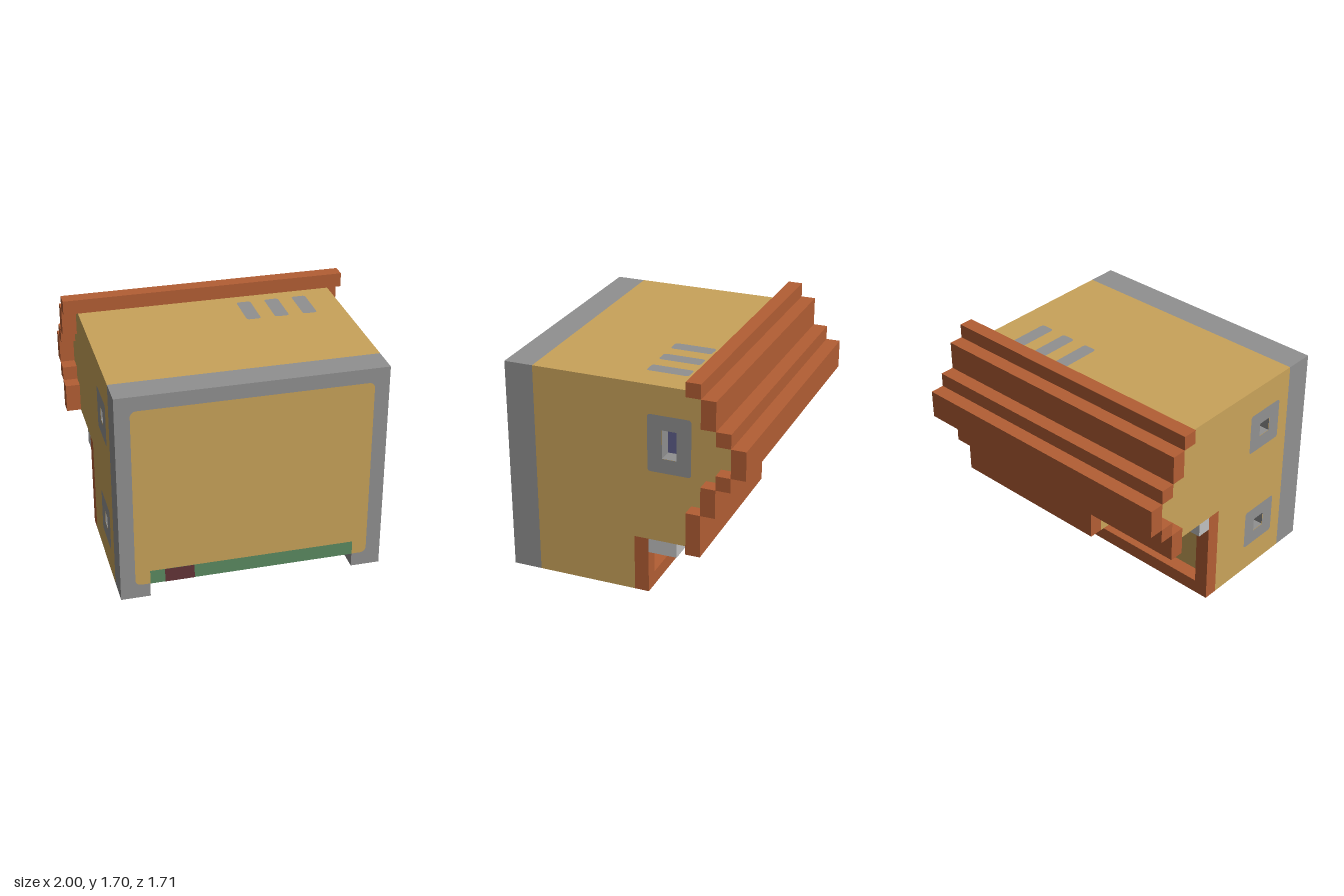
import * as THREE from 'three';

const paint = (name, color) => Object.assign(new THREE.MeshStandardMaterial({ color }), { name });
const tan = paint('tan', 0xc9a35a);
const grey = paint('grey', 0x909090);
const rust = paint('rust', 0xb35e34);
const green = paint('green', 0x5b8a61);
const maroon = paint('maroon', 0x633438);
const blue = paint('slate blue', 0x5f5f8c);
const pale = paint('pale grey', 0xc0c0c0);

// In-plane coordinates: x faces use (z, y), y faces use (x, z), z faces use (x, y)
const place = {
  x: (p, a, b) => [p, b, a],
  y: (p, a, b) => [a, p, b],
  z: (p, a, b) => [a, b, p],
};
const rect = (a0, a1, b0, b1) => [[a0, b0], [a1, b0], [a1, b1], [a0, b1]];
const toPath = (points, Type = THREE.Shape) => new Type(points.map(([a, b]) => new THREE.Vector2(a, b)));

function rounded([a0, a1, b0, b1], r) {
  const s = new THREE.Shape();
  s.absarc(a1 - r, b0 + r, r, -Math.PI / 2, 0);
  s.absarc(a1 - r, b1 - r, r, 0, Math.PI / 2);
  s.absarc(a0 + r, b1 - r, r, Math.PI / 2, Math.PI);
  s.absarc(a0 + r, b0 + r, r, Math.PI, Math.PI * 1.5);
  return s;
}

export function createModel() {
  const model = new THREE.Group();
  model.name = 'shutteredHousing';

  const add = (name, geometry, material) => {
    const mesh = new THREE.Mesh(geometry, material);
    mesh.name = name;
    model.add(mesh);
    return mesh;
  };

  const box = (name, mat, x0, x1, y0, y1, z0, z1) =>
    add(name, new THREE.BoxGeometry(x1 - x0, y1 - y0, z1 - z0), mat)
      .position.set((x0 + x1) / 2, (y0 + y1) / 2, (z0 + z1) / 2);

  // One flat face at `p` on an axis, looking along `sign`, with rectangular holes
  function sheet(name, mat, axis, sign, p, outline, holes = []) {
    const shape = Array.isArray(outline) ? toPath(outline) : outline;
    for (const h of holes) shape.holes.push(toPath(rect(...h), THREE.Path));
    const g = new THREE.ShapeGeometry(shape, 4);
    const pos = g.attributes.position;
    for (let i = 0; i < pos.count; i++) pos.setXYZ(i, ...place[axis](p, pos.getX(i), pos.getY(i)));
    if (sign !== (axis === 'z' ? 1 : -1)) g.index.array.reverse();
    g.computeVertexNormals();
    add(name, g, mat);
  }

  // Square pocket sunk 0.1 into a face, open outward, with a coloured floor
  function pocket(axis, sign, p, [a0, a1, b0, b1]) {
    const size = place[axis](0.1, a1 - a0, b1 - b0);
    const source = new THREE.BoxGeometry(...size);
    const open = 'xyz'.indexOf(axis) * 2 + (sign > 0 ? 0 : 1);
    const index = [], floor = open ^ 1;
    const order = [0, 1, 2, 3, 4, 5].filter((f) => f !== open && f !== floor).concat(floor);
    for (const f of order) {
      for (let t = 0; t < 6; t += 3) {
        const [i, j, k] = source.index.array.slice(f * 6 + t, f * 6 + t + 3);
        index.push(i, k, j);
      }
    }
    source.setIndex(index);
    source.clearGroups();
    const g = source.toNonIndexed();
    g.computeVertexNormals();
    g.addGroup(0, 24, 0);
    g.addGroup(24, 6, 1);
    const centre = place[axis](p - sign * 0.05, (a0 + a1) / 2, (b0 + b1) / 2);
    add('portPocket', g, [grey, blue]).position.set(...centre);
  }

  // Grey surround plus its pockets
  function port(axis, sign, p, area, holes) {
    sheet('portSurround', grey, axis, sign, p + sign * 0.003, rounded(area, 0.02), holes);
    for (const h of holes) pocket(axis, sign, p, h);
  }

  // Side walls with a stepped back edge
  const steps = [[-0.55, 0.8], [-0.55, 1], [-0.65, 1], [-0.65, 1.1], [-0.75, 1.1], [-0.75, 1.3],
    [-0.65, 1.3], [-0.65, 1.4], [-0.55, 1.4], [-0.55, 1.6], [0.65, 1.6]];
  const rightHole = [-0.35, -0.25, 1.1, 1.3];
  sheet('leftWall', tan, 'x', 1, 0.9,
    [[0.65, 0.1], [-0.05, 0.1], [-0.05, 0.5], [-0.45, 0.5], [-0.45, 0.8], ...steps], [rightHole]);
  port('x', 1, 0.9, [-0.45, -0.15, 1, 1.4], [rightHole]);
  const sideHoles = [[0.35, 0.45, 0.4, 0.5], [0.35, 0.45, 1.2, 1.3]];
  sheet('rightWall', tan, 'x', -1, -0.9,
    [[0.65, 0.1], [-0.05, 0.1], [-0.05, 0.8], ...steps], sideHoles);
  for (const h of sideHoles) port('x', -1, -0.9, [0.25, 0.55, h[2] - 0.1, h[3] + 0.1], [h]);

  // Top with three vents
  sheet('top', tan, 'y', 1, 1.6, rect(-0.9, 0.9, -0.55, 0.65));
  for (const x of [0.2, 0.4, 0.6]) {
    sheet('vent', grey, 'y', 1, 1.603, rounded([x, x + 0.1, -0.35, -0.06], 0.02));
  }

  // Grey front surround, its returns and feet
  sheet('frontSurround', grey, 'z', 1, 0.85, [[-0.9, 0.1], [-0.7, 0.1], [-0.7, 0.2], [0.7, 0.2],
    [0.7, 0.1], [0.9, 0.1], [0.9, 1.6], [-0.9, 1.6]]);
  sheet('surroundTop', grey, 'y', 1, 1.6, rect(-0.9, 0.9, 0.65, 0.85));
  for (const s of [-1, 1]) {
    sheet('surroundSide', grey, 'x', s, s * 0.9, rect(0.65, 0.85, 0.1, 1.6));
    sheet('footInner', grey, 'x', -s, s * 0.7, rect(0.65, 0.85, 0.1, 0.2));
    sheet('footBottom', grey, 'y', -1, 0.1, rect(s * 0.8 - 0.1, s * 0.8 + 0.1, 0.65, 0.85));
  }

  // Front panel and bottom stripe, which wraps under into the notch
  sheet('frontPanel', tan, 'z', 1, 0.852, rounded([-0.8, 0.8, 0.2, 1.5], 0.04));
  sheet('stripe', green, 'z', 1, 0.854, rect(-0.7, 0.7, 0.2, 0.3));
  sheet('stripeMark', maroon, 'z', 1, 0.856, rect(-0.6, -0.4, 0.2, 0.3));
  sheet('stripeUnder', green, 'y', -1, 0.2, rect(-0.7, 0.7, 0.55, 0.85));
  sheet('stripeMarkUnder', maroon, 'y', -1, 0.198, rect(-0.6, -0.4, 0.55, 0.85));

  // Notch walls and the slot behind it
  sheet('notchBack', tan, 'z', 1, 0.55, rect(-0.3, 0.7, 0.1, 0.2));
  sheet('notchSide', tan, 'x', -1, 0.7, rect(0.55, 0.65, 0.1, 0.2));
  sheet('slotSide', tan, 'x', 1, -0.7, rect(0.25, 0.65, 0.1, 0.2));
  sheet('slotSide', tan, 'x', -1, -0.3, rect(0.25, 0.55, 0.1, 0.2));
  sheet('slotBack', tan, 'z', 1, 0.25, rect(-0.7, -0.3, 0.1, 0.2));
  sheet('slotCeiling', tan, 'y', -1, 0.2, rect(-0.7, -0.3, 0.25, 0.55));
  box('bottomTab', rust, -0.7, -0.3, 0, 0.2, 0.35, 0.45);

  // Bottom with two ports
  const bottomHoles = [[0.1, 0.3, 0.35, 0.45], [0.4, 0.6, 0.35, 0.45]];
  sheet('bottom', tan, 'y', -1, 0.1, [[-0.9, -0.05], [0.9, -0.05], [0.9, 0.65], [0.7, 0.65], [0.7, 0.55],
    [-0.3, 0.55], [-0.3, 0.25], [-0.7, 0.25], [-0.7, 0.65], [-0.9, 0.65]], bottomHoles);
  port('y', -1, 0.1, [0, 0.7, 0.25, 0.55], bottomHoles);

  // Undersides of the overhang at two heights
  const lowHoles = [[0.1, 0.2, -0.35, -0.25], [0.5, 0.6, -0.35, -0.25]];
  const highHole = [-0.6, -0.5, -0.35, -0.25];
  sheet('lowUnderside', tan, 'y', -1, 0.5, rect(-0.2, 0.9, -0.45, -0.05), lowHoles);
  sheet('highUnderside', tan, 'y', -1, 0.8, rect(-0.9, -0.2, -0.55, -0.05), [highHole]);
  sheet('undersideStep', tan, 'x', -1, -0.2, rect(-0.45, -0.05, 0.5, 0.8));
  for (const h of lowHoles) port('y', -1, 0.5, [h[0] - 0.1, h[1] + 0.1, -0.45, -0.15], [h]);
  port('y', -1, 0.8, [-0.7, -0.4, -0.45, -0.15], [highHole]);
  box('hangingBlock', pale, 0.7, 0.9, 0.4, 0.5, -0.35, -0.15);
  box('hangingCube', pale, -0.9, -0.8, 0.7, 0.8, -0.25, -0.15);
  box('hangingCube', pale, -0.8, -0.7, 0.7, 0.8, -0.45, -0.35);

  // Recessed back panel in a raised frame
  sheet('backPanel', tan, 'z', -1, -0.05,
    [[-0.8, 0.2], [0.8, 0.2], [0.8, 0.5], [-0.2, 0.5], [-0.2, 0.8], [-0.8, 0.8]]);
  const frame = toPath([[-0.9, 0.1], [0.9, 0.1], [0.9, 0.5], [0.8, 0.5], [0.8, 0.2],
    [-0.8, 0.2], [-0.8, 0.8], [-0.9, 0.8]]);
  add('backFrame', new THREE.ExtrudeGeometry(frame, { depth: 0.1, bevelEnabled: false }), rust)
    .position.z = -0.15;

  // Stepped slats across the back: bottom, top, front z, right end
  const slats = [[0.5, 0.8, -0.45, -0.2], [0.8, 1, -0.55, -1], [1, 1.1, -0.65, -1], [1.1, 1.3, -0.75, -1],
    [1.3, 1.4, -0.65, -1], [1.4, 1.6, -0.55, -1], [1.6, 1.7, -0.45, -1]];
  for (const [y0, y1, z, x0] of slats) box('backSlat', rust, x0, 1, y0, y1, z - 0.1, z);

  return model;
}
